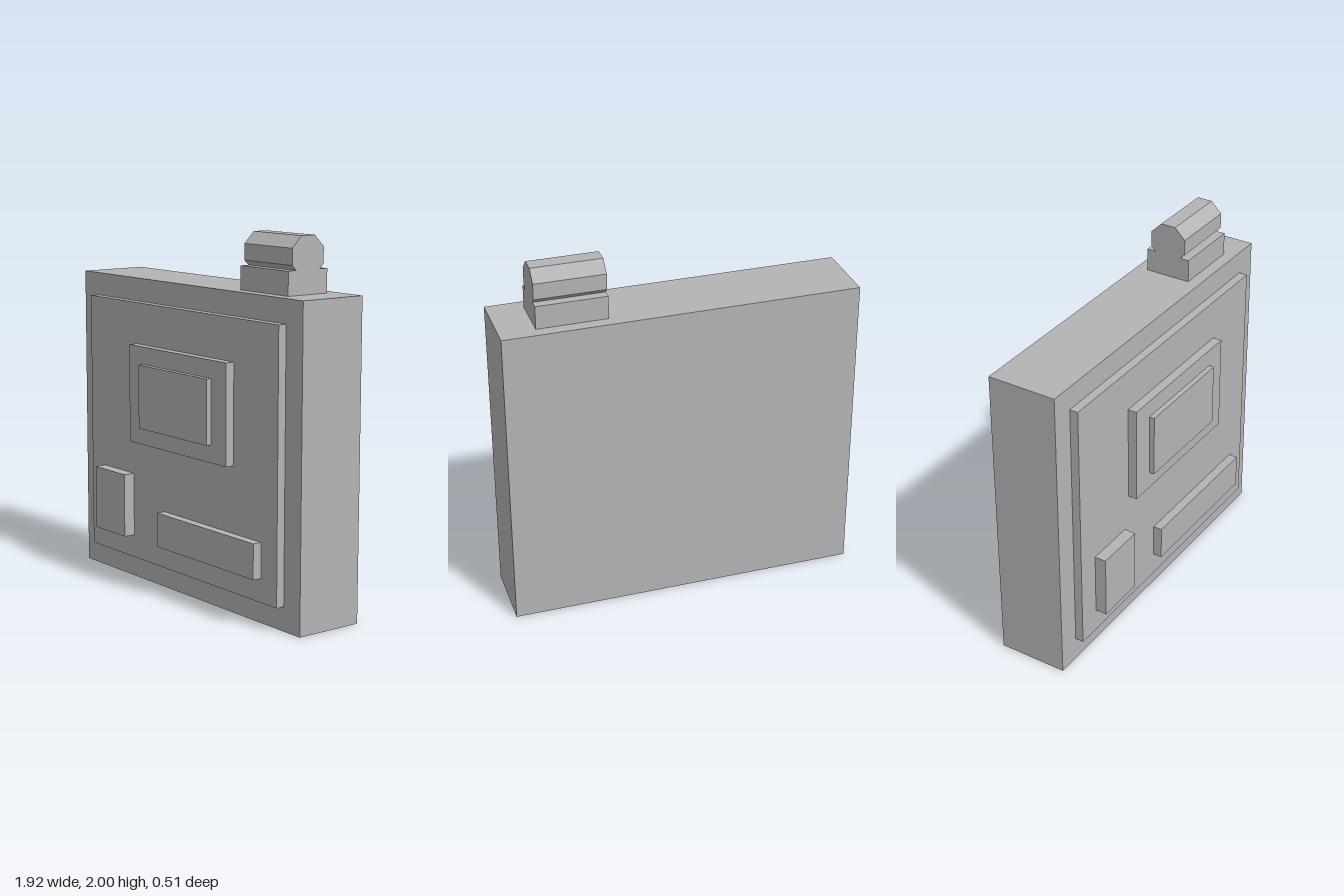
import * as THREE from 'three';

export function createModel() {
  const group = new THREE.Group();
  const grey = new THREE.MeshStandardMaterial({ color: 0xb4b4b4 });
  grey.name = 'plain grey';

  const add = (name, geometry) => {
    const mesh = new THREE.Mesh(geometry, grey);
    mesh.name = name;
    group.add(mesh);
  };

  // Box given by its limits on each axis
  const slab = (name, [x0, x1], [y0, y1], [z0, z1]) => {
    const box = new THREE.BoxGeometry(x1 - x0, y1 - y0, z1 - z0);
    add(name, box.translate((x0 + x1) / 2, (y0 + y1) / 2, (z0 + z1) / 2));
  };

  const bodyFront = 0.131, panelFront = 0.178;

  // Main case and the raised panels stacked on its front
  slab('body', [-0.961, 0.961], [0, 1.702], [-0.257, bodyFront]);
  slab('frontPanel', [-0.835, 0.833], [0.13, 1.575], [bodyFront, panelFront]);
  slab('screenFrame', [-0.385, 0.477], [0.807, 1.348], [panelFront, 0.228]);
  slab('screen', [-0.258, 0.35], [0.902, 1.252], [0.228, 0.257]);
  slab('squareButton', [-0.708, -0.422], [0.258, 0.612], [panelFront, 0.243]);
  slab('longButton', [-0.131, 0.705], [0.258, 0.448], [panelFront, 0.228]);

  // Top connector: wide foot with an octagonal bar sunk into it, as one profile
  const midZ = -0.063, foot = 0.128, neck = 0.077, wide = 0.103, flat = 0.0427;
  const half = [[foot, 1.702], [foot, 1.828], [neck, 1.828], [wide, 1.854], [wide, 1.94], [flat, 2]];
  const outline = [...half, ...half.map(([z, y]) => [-z, y]).reverse()];
  const profile = new THREE.Shape(outline.map(([z, y]) => new THREE.Vector2(z, y)));
  const connector = new THREE.ExtrudeGeometry(profile, { depth: 0.381, bevelEnabled: false });
  add('connector', connector.rotateY(Math.PI / 2).translate(0.387, 0, midZ));

  return group;
}
